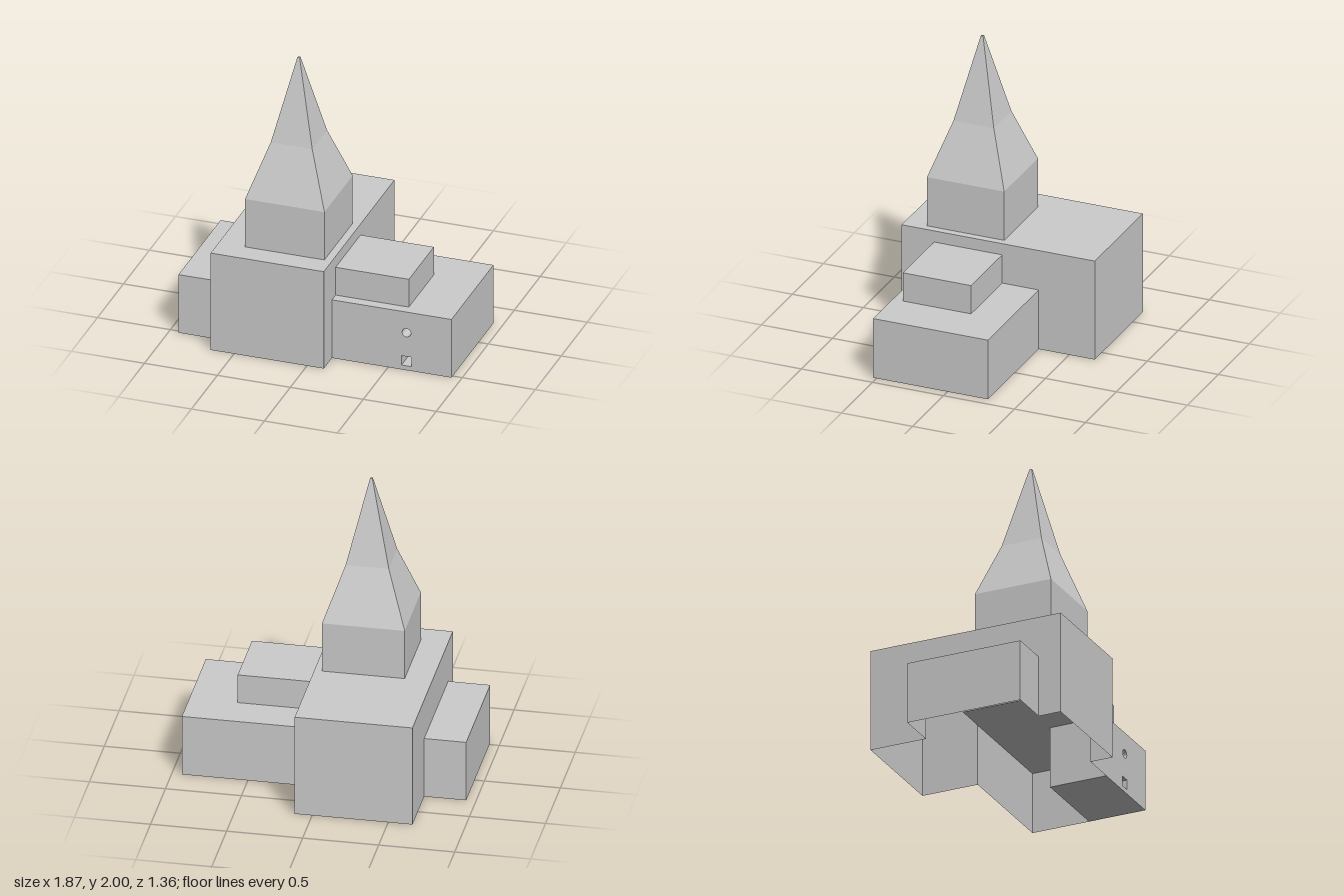
import * as THREE from 'three';

const material = new THREE.MeshStandardMaterial({ color: 0xcccccc, flatShading: true, side: THREE.DoubleSide });

function shapeOf(points) {
  return new THREE.Shape(points.map(([a, b]) => new THREE.Vector2(a, b)));
}

export function createModel() {
  const group = new THREE.Group();
  const add = (name, geometry, x = 0, y = 0, z = 0) => {
    const mesh = new THREE.Mesh(geometry, material);
    mesh.name = name;
    mesh.position.set(x, y, z);
    group.add(mesh);
    return mesh;
  };

  // Flat roof from a plan outline of [x, z] points
  const roof = (name, y, points) =>
    add(name, new THREE.ShapeGeometry(shapeOf(points.map(([x, z]) => [x, -z]))).rotateX(-Math.PI / 2), 0, y, 0);

  // Upright walls along an open path of [x, z] points
  const walls = (name, y0, y1, path) => {
    for (let i = 0; i + 1 < path.length; i++) {
      const [ax, az] = path[i], [bx, bz] = path[i + 1];
      const g = new THREE.PlaneGeometry(Math.hypot(bx - ax, bz - az), y1 - y0);
      g.rotateY(-Math.atan2(bz - az, bx - ax));
      add(name, g, (ax + bx) / 2, (y0 + y1) / 2, (az + bz) / 2);
    }
  };
  const rect = (x0, x1, z0, z1) => [[x0, z0], [x0, z1], [x1, z1], [x1, z0]];

  const hallL = -0.66, hallR = 0.115, hallZ = 0.68, hallH = 0.705;
  const wingBack = -0.285, wingFront = 0.523, wingH = 0.423;
  const endL = -0.936, endR = 0.934;

  // Main hall, open below, with side walls cut away where the wings join
  const side = shapeOf([
    [-hallZ, 0], [wingBack, 0], [wingBack, wingH], [wingFront, wingH],
    [wingFront, 0], [hallZ, 0], [hallZ, hallH], [-hallZ, hallH],
  ]);
  for (const x of [hallL, hallR]) {
    add('hallSideWall', new THREE.ShapeGeometry(side).rotateY(-Math.PI / 2), x, 0, 0);
  }
  walls('hallFrontWall', 0, hallH, [[hallR, hallZ], [hallL, hallZ]]);
  walls('hallBackWall', 0, hallH, [[hallL, -hallZ], [hallR, -hallZ]]);
  roof('hallRoof', hallH, rect(hallL, hallR, -hallZ, hallZ));

  // Short wing
  walls('shortWingWall', 0, wingH, [[hallL, wingFront], [endL, wingFront], [endL, wingBack], [hallL, wingBack]]);
  roof('shortWingRoof', wingH, rect(endL, hallL, wingBack, wingFront));

  // Long wing around a solid corner block
  const blockX = 0.35, blockZ = 0.12;
  walls('longWingWall', 0, wingH, [[hallR, wingFront], [blockX, wingFront]]);
  walls('longWingWall', 0, wingH, [[endR, blockZ], [endR, wingBack], [hallR, wingBack]]);
  roof('longWingRoof', wingH, [
    [-0.11, wingBack], [-0.11, wingFront], [blockX, wingFront],
    [blockX, blockZ], [endR, blockZ], [endR, wingBack],
  ]);

  // Corner block pierced by a round and a square passage
  const corner = shapeOf([[blockX, 0], [endR, 0], [endR, wingH], [blockX, wingH]]);
  const round = new THREE.Path();
  round.absarc(0.626, 0.272, 0.03, 0, Math.PI * 2, true);
  const square = new THREE.Path([[0.592, 0.032], [0.592, 0.1], [0.661, 0.1], [0.661, 0.032]]
    .map(([x, y]) => new THREE.Vector2(x, y)));
  corner.holes.push(round, square);
  add('piercedCornerBlock', new THREE.ExtrudeGeometry(corner, {
    depth: wingFront - blockZ, bevelEnabled: false, curveSegments: 16,
  }), 0, 0, blockZ);

  // Raised storey on the long wing
  const upX = 0.617, upBack = -0.028, upFront = 0.452, upH = 0.625;
  walls('raisedStoreyWall', wingH, upH, [[hallR, upFront], [upX, upFront], [upX, upBack], [hallR, upBack]]);
  roof('raisedStoreyRoof', upH, rect(hallR, upX, upBack, upFront));

  // Square tower and two-pitch spire from [half width, height] profiles
  const squareLathe = (profile) => new THREE.LatheGeometry(
    profile.map(([half, y]) => new THREE.Vector2(half * Math.SQRT2, y)), 4, Math.PI / 4);
  const tx = -0.208, tz = 0.252;
  add('tower', squareLathe([[0.272, hallH], [0.272, 1.053]]), tx, 0, tz);
  add('spire', squareLathe([[0.272, 1.053], [0.142, 1.425], [0.008, 2], [0, 2]]), tx, 0, tz);

  return group;
}
